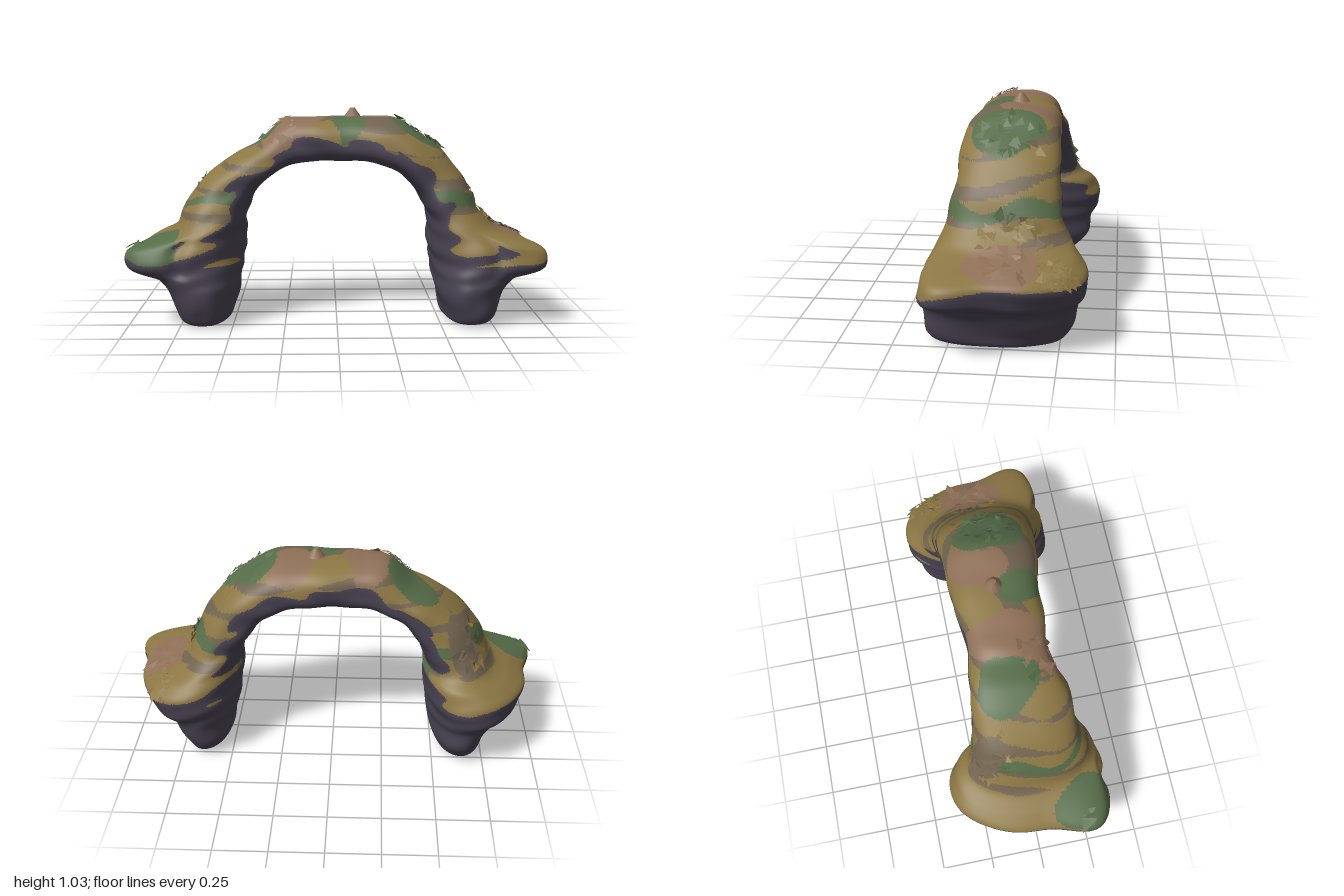
import * as THREE from 'three';

// Section rows: outer x, outer y, inner x, inner y, front z, back z
const LEG = [
  [0.715, 0.0, 0.56, 0.0, 0.27, -0.2],
  [0.765, 0.02, 0.525, 0.025, 0.33, -0.26],
  [0.79, 0.08, 0.5, 0.1, 0.365, -0.31],
  [0.83, 0.165, 0.485, 0.18, 0.37, -0.325],
  [0.875, 0.215, 0.475, 0.23, 0.365, -0.345],
  [0.925, 0.25, 0.47, 0.275, 0.36, -0.365],
  [0.95, 0.3, 0.465, 0.32, 0.36, -0.375],
  [0.95, 0.36, 0.46, 0.37, 0.35, -0.37],
  [0.895, 0.405, 0.455, 0.43, 0.33, -0.34],
];
const LEFT_SLOPE = [
  [0.785, 0.455, 0.45, 0.48, 0.3, -0.295],
  [0.705, 0.53, 0.44, 0.53, 0.275, -0.262],
  [0.665, 0.62, 0.42, 0.58, 0.255, -0.245],
  [0.595, 0.74, 0.385, 0.635, 0.24, -0.235],
  [0.5, 0.845, 0.33, 0.7, 0.235, -0.23],
  [0.39, 0.92, 0.265, 0.74, 0.23, -0.23],
  [0.28, 0.98, 0.185, 0.765, 0.22, -0.225],
  [0.13, 0.99, 0.09, 0.775, 0.205, -0.215],
];
const RIGHT_SLOPE = [
  [0.8, 0.455, 0.45, 0.48, 0.32, -0.29],
  [0.755, 0.545, 0.44, 0.53, 0.295, -0.26],
  [0.7, 0.63, 0.42, 0.58, 0.265, -0.245],
  [0.61, 0.73, 0.385, 0.635, 0.25, -0.235],
  [0.495, 0.81, 0.33, 0.7, 0.235, -0.225],
  [0.38, 0.87, 0.265, 0.74, 0.205, -0.21],
  [0.26, 0.97, 0.185, 0.765, 0.18, -0.2],
  [0.13, 0.985, 0.09, 0.775, 0.18, -0.2],
];
const COLORS = { stone: 0x484251, sand: 0x8c7744, moss: 0x566d49, clay: 0x8f7057, dusk: 0x71634f };
// Colour spots seen from above: x, z, radius, colour
const SPOTS = [
  [-0.4, -0.06, 0.12, 'moss'], [0.42, 0.02, 0.13, 'moss'], [-0.88, 0.28, 0.13, 'moss'],
  [0.04, 0.1, 0.09, 'moss'], [-0.16, 0.02, 0.13, 'clay'], [0.18, -0.1, 0.11, 'clay'],
  [0.84, -0.02, 0.12, 'clay'], [-0.28, 0.12, 0.07, 'clay'], [-0.62, -0.2, 0.07, 'dusk'],
];
// Fractured areas: x, z, half width, half depth, shard count
const BROKEN = [
  [0.79, -0.05, 0.13, 0.22, 80], [0.84, -0.25, 0.08, 0.08, 30], [0.42, 0, 0.12, 0.17, 40],
  [-0.27, 0.1, 0.1, 0.07, 25], [-0.63, -0.16, 0.1, 0.1, 35], [-0.96, 0.24, 0.03, 0.04, 6],
];
const NU = 280, NV = 150;

let seed = 7;
const rand = () => (seed = (seed * 16807) % 2147483647) / 2147483647;
const lerp = THREE.MathUtils.lerp;
const bell = (v, centre, width) => Math.exp(-(((v - centre) / width) ** 2));

const wobble = (x, y, z) =>
  Math.sin(17 * x + 5 * z + 2 * Math.sin(9 * y)) * 0.4 +
  Math.sin(30 * y + 4 * z + 3 * Math.sin(5 * x)) * 0.35 +
  Math.sin(21 * z + 13 * x - 8 * y) * 0.25;

function archGeometry() {
  const right = [...LEG.map(([a, b, c, d, f, k]) => [a, b, c - 0.01, d, f * 1.03, k * 1.05]), ...RIGHT_SLOPE]
    .map(([ox, oy, ix, iy, f, b]) => [-ox, oy, -ix, iy, f, b]);
  const rows = [...right, [0, 0.987, 0, 0.778, 0.19, -0.205], ...[...LEG, ...LEFT_SLOPE].reverse()];
  const curve = (pick) => new THREE.CatmullRomCurve3(rows.map(pick), false, 'catmullrom', 0.5);
  const outer = curve((r) => new THREE.Vector3(r[0], r[1], 0));
  const inner = curve((r) => new THREE.Vector3(r[2], r[3], 0));
  const depth = curve((r) => new THREE.Vector3(r[4], r[5], 0));
  const pos = [], index = [];
  for (let i = 0; i <= NU; i++) {
    const u = i / NU, station = u * (rows.length - 1);
    const fromFoot = Math.min(station, rows.length - 1 - station);
    const o = outer.getPoint(u), n = inner.getPoint(u), d = depth.getPoint(u);
    const mid = o.clone().add(n).multiplyScalar(0.5), half = o.clone().sub(n).multiplyScalar(0.5);
    const zm = (d.x + d.y) / 2, zh = (d.x - d.y) / 2;
    const ledge = Math.exp(-(((fromFoot - 6.6) / 1.8) ** 4));
    const span = THREE.MathUtils.smoothstep(fromFoot, 8, 13);
    for (let j = 0; j < NV; j++) {
      const t = (j / NV) * Math.PI * 2, c = Math.cos(t), s = Math.sin(t);
      // Section is round at the back of the legs, boxier at the front and over the span
      const e = lerp(s < 0 ? 2.05 - 0.2 * c : 2.5, 2.9, span);
      const r = (Math.abs(c) ** e + Math.abs(s) ** e) ** (-1 / e);
      // Knuckle on the front outer corner of each ledge, with a shallow dent beside it
      const knuckle = ledge * bell(t, 0.72, 0.36), dent = ledge * bell(t, 1.36, 0.16);
      // Span is widest near its underside
      const a = c * r * (1 + 0.43 * knuckle) - 0.22 * span * s * s;
      const b = s * r * (1 + 0.19 * knuckle - 0.06 * dent);
      let x = mid.x + half.x * a, y = mid.y + half.y * a, z = zm + zh * b;
      // Weathering and eroded ridges
      const ridges = 0.003 * Math.sin(station * 3.1 + 2 * Math.sin(2 * t));
      const k = (0.008 * wobble(x, y, z) + ridges) * Math.min(1, fromFoot);
      x += Math.sign(half.x) * Math.min(1, Math.abs(half.x) * 8) * c * k;
      y += half.y * 6 * c * k;
      z += s * k;
      pos.push(x, Math.max(0, y), z);
    }
  }
  for (let i = 0; i < NU; i++)
    for (let j = 0; j < NV; j++) {
      const a = i * NV + j, b = i * NV + ((j + 1) % NV);
      index.push(a, b, a + NV, b, b + NV, a + NV);
    }
  const g = new THREE.BufferGeometry();
  g.setAttribute('position', new THREE.Float32BufferAttribute(pos, 3));
  g.setIndex(index);
  g.computeVertexNormals();
  return g;
}

// Bare stone on undersides, patchy and banded ground colours on top
function colourAt(p, n) {
  const w = wobble(p.x * 0.8, p.y * 0.6, p.z);
  if (n.y < 0.14 + 0.06 * w || p.y < 0.3) return 'stone';
  for (const [x, z, r, name] of SPOTS)
    if (Math.hypot(p.x - x, (p.z - z) * 0.75) < r * (1 + 0.35 * w)) return name;
  if (Math.abs(p.y - 0.6 + 0.03 * Math.sin(14 * p.z)) < 0.03 + 0.02 * w) return 'moss';
  return Math.sin(52 * p.y + 4 * p.x + 2 * Math.sin(7 * p.z)) + 0.6 * w > 0.55 && p.y > 0.45 ? 'dusk' : 'sand';
}

export function createModel() {
  const group = new THREE.Group();
  group.name = 'rockArch';
  const add = (name, geometry, color, options = {}) => {
    const mesh = new THREE.Mesh(geometry, new THREE.MeshStandardMaterial({ color, ...options }));
    mesh.name = name;
    group.add(mesh);
    return mesh;
  };
  const arch = archGeometry();
  const P = arch.attributes.position, N = arch.attributes.normal, I = arch.index.array;
  const p = new THREE.Vector3(), n = new THREE.Vector3(), q = new THREE.Vector3();

  // Arch surface, split by colour with shared smooth normals
  const faces = Object.fromEntries(Object.keys(COLORS).map((k) => [k, []]));
  for (let f = 0; f < I.length; f += 3) {
    p.set(0, 0, 0); n.set(0, 0, 0);
    for (let k = 0; k < 3; k++) {
      p.add(q.fromBufferAttribute(P, I[f + k]));
      n.add(q.fromBufferAttribute(N, I[f + k]));
    }
    faces[colourAt(p.divideScalar(3), n.normalize())].push(I[f], I[f + 1], I[f + 2]);
  }
  for (const [name, list] of Object.entries(faces)) {
    const g = new THREE.BufferGeometry();
    g.setAttribute('position', P);
    g.setAttribute('normal', N);
    g.setIndex(list);
    add(name + 'Surface', g, COLORS[name]);
  }

  // Flat soles under both feet
  [0, NU].forEach((row, side) => {
    const ring = [];
    for (let j = 0; j < NV; j++) ring.push(new THREE.Vector2(P.getX(row * NV + j), P.getZ(row * NV + j)));
    const sole = new THREE.ShapeGeometry(new THREE.Shape(ring));
    sole.rotateX(Math.PI / 2);
    add(side ? 'leftSole' : 'rightSole', sole, 0x9a94a4, { side: THREE.DoubleSide });
  });

  // Broken, flaking shards, grouped by colour
  const shards = Object.fromEntries(Object.keys(COLORS).map((k) => [k, []]));
  for (const [x, z, w, d, count] of BROKEN) {
    const spots = [];
    for (let v = 0; v < P.count; v++)
      if (N.getY(v) > 0.25 && Math.hypot((P.getX(v) - x) / w, (P.getZ(v) - z) / d) < 1) spots.push(v);
    for (let k = 0; k < count && spots.length; k++) {
      const v = spots[Math.floor(rand() * spots.length)];
      p.fromBufferAttribute(P, v); n.fromBufferAttribute(N, v);
      const name = colourAt(p, n), turn = rand() * 6.28;
      const side = new THREE.Vector3(0, 0, 1).cross(n).normalize();
      const up = n.clone().cross(side);
      for (let m = 0; m < 3; m++) {
        const t = turn + m * 2.1 + rand() * 0.6, r = 0.015 + rand() * 0.03;
        q.copy(p).addScaledVector(side, Math.cos(t) * r).addScaledVector(up, Math.sin(t) * r)
          .addScaledVector(n, rand() * 0.024 - 0.007);
        shards[name].push(q.x, q.y, q.z);
      }
    }
  }
  for (const [name, list] of Object.entries(shards)) {
    if (!list.length) continue;
    const g = new THREE.BufferGeometry();
    g.setAttribute('position', new THREE.Float32BufferAttribute(list, 3));
    g.computeVertexNormals();
    add(name + 'Shards', g, COLORS[name], { side: THREE.DoubleSide, flatShading: true });
  }

  // Small blunt peak on the crown
  const peak = add('crownPeak', new THREE.CylinderGeometry(0.012, 0.045, 0.045, 9), COLORS.clay);
  peak.position.set(0.08, 1.005, -0.02);
  return group;
}
